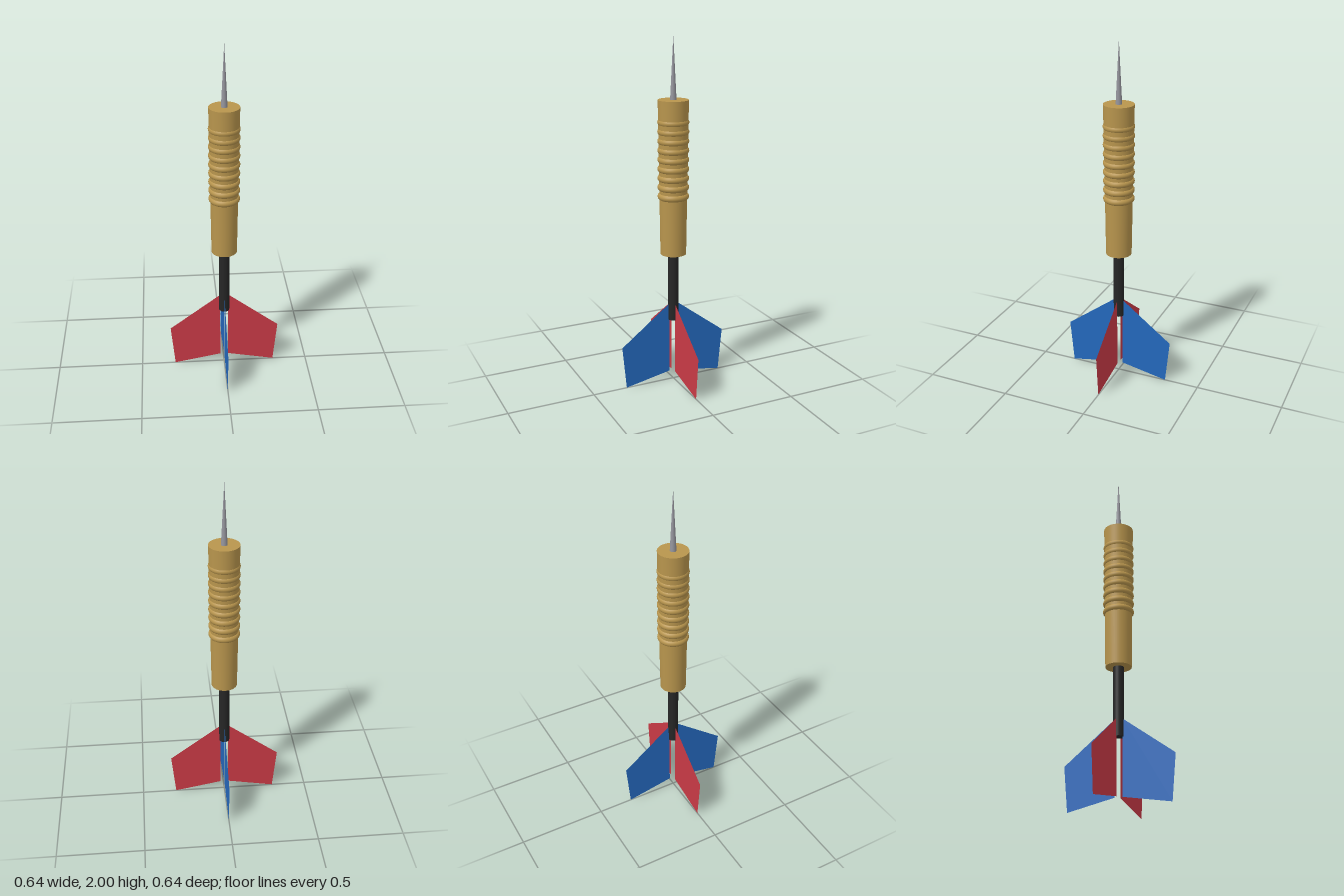
import * as THREE from 'three';

const material = (color, side = THREE.FrontSide) => new THREE.MeshStandardMaterial({ color, side });

export function createModel() {
  const dart = new THREE.Group();
  dart.name = 'dart';

  const brass = material(0xb8954d);
  const black = material(0x262626);
  const steel = material(0x94949c);
  const red = material(0xc93a46, THREE.DoubleSide);
  const blue = material(0x2468bd, THREE.DoubleSide);

  const add = (name, geometry, mat, y = 0) => {
    const mesh = new THREE.Mesh(geometry, mat);
    mesh.name = name;
    mesh.position.y = y;
    dart.add(mesh);
    return mesh;
  };

  // Upright cylinder between two heights
  const rod = (name, rTop, rBottom, y0, y1, mat) =>
    add(name, new THREE.CylinderGeometry(rTop, rBottom, y1 - y0, 48), mat, (y0 + y1) / 2);

  // Needle, tapered barrel and shaft
  add('point', new THREE.ConeGeometry(0.018, 0.35, 24), steel, 1.825);
  rod('barrel', 0.085, 0.073, 0.78, 1.655, brass);
  rod('shaft', 0.03, 0.03, 0.38, 0.79, black);

  // Grip rings around the upper barrel
  const ringGeometry = new THREE.TorusGeometry(0.068, 0.02, 16, 48).rotateX(Math.PI / 2);
  for (let i = 0; i < 9; i++) add('gripRing', ringGeometry, brass, 1.117 + i * 0.052);

  // Four thin flights, red across x and blue across z
  const outline = [[0.024, 0.48], [0.024, 0.055], [0.298, 0.003], [0.322, 0.255]];
  const flightGeometry = new THREE.ShapeGeometry(
    new THREE.Shape(outline.map(([x, y]) => new THREE.Vector2(x, y))));
  for (let i = 0; i < 4; i++) {
    add('flight', flightGeometry, i % 2 ? blue : red).rotation.y = i * Math.PI / 2;
  }

  return dart;
}
